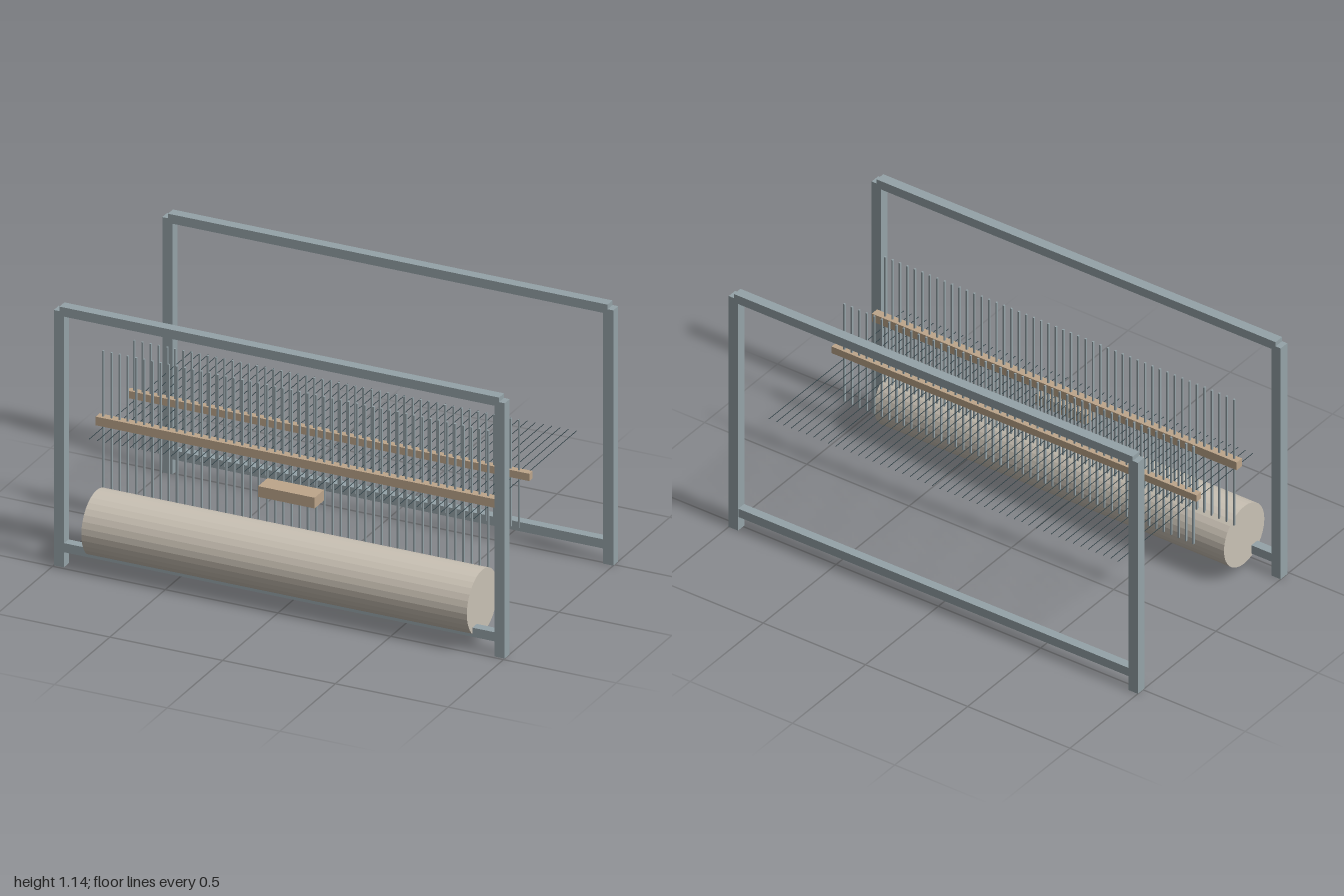
import * as THREE from 'three';

export function createModel() {
  const model = new THREE.Group();
  model.name = 'loom';

  const material = (name, color) => {
    const m = new THREE.MeshStandardMaterial({ color });
    m.name = name;
    return m;
  };
  const steel = material('greySteel', 0x95a3a8);
  const wood = material('brownWood', 0xbea68b);
  const cloth = material('paleCloth', 0xcac2b5);
  const yarn = material('darkYarn', 0x2f4046);

  const box = (parent, name, mat, w, h, d, x, y, z) => {
    const mesh = new THREE.Mesh(new THREE.BoxGeometry(w, h, d), mat);
    mesh.name = name;
    mesh.position.set(x, y, z);
    parent.add(mesh);
    return mesh;
  };

  // Front and back frames: two posts, a top rail and a bottom rail
  for (const [name, z] of [['frontFrame', 0.4665], ['backFrame', -0.5125]]) {
    const frame = new THREE.Group();
    frame.name = name;
    for (const side of [-1, 1]) {
      box(frame, side > 0 ? 'leftPost' : 'rightPost', steel, 0.045, 1.12, 0.045, side * 0.9775, 0.56, z);
    }
    box(frame, 'topRail', steel, 1.95, 0.04, 0.045, 0, 1.12, z);
    box(frame, 'bottomRail', steel, 1.91, 0.04, 0.04, 0, 0.085, z);
    model.add(frame);
  }

  // Cloth roller lying along x
  const rollerShape = new THREE.CylinderGeometry(0.1385, 0.1385, 1.71, 32).toNonIndexed();
  rollerShape.computeVertexNormals();
  const roller = new THREE.Mesh(rollerShape, cloth);
  roller.name = 'clothRoller';
  roller.rotation.z = Math.PI / 2;
  roller.position.set(0, 0.183, 0.397);
  model.add(roller);

  // Evenly spaced positions shared by the wires and the warp
  const count = 48;
  const xAt = (i) => -0.867 + i * 0.0363;

  // Two combs: a wooden bar with upright wires through it
  const comb = (name, z, barHeight, barDepth, barY, low, high, depth) => {
    const group = new THREE.Group();
    group.name = name;
    box(group, 'bar', wood, 1.784, barHeight, barDepth, 0, barY, z);
    for (let i = 0; i < count; i++) {
      box(group, 'wire', steel, 0.007, high - low, depth, xAt(i), (low + high) / 2, z);
    }
    model.add(group);
  };
  comb('frontComb', 0.312, 0.038, 0.036, 0.589, 0.285, 0.895, 0.009);
  comb('backComb', 0.033, 0.032, 0.03, 0.589, 0.352, 0.825, 0.008);

  // Warp threads running front to back
  const warp = new THREE.Group();
  warp.name = 'warp';
  for (let i = 0; i < count; i++) {
    box(warp, 'warpThread', yarn, 0.002, 0.002, 0.925, xAt(i), 0.56, -0.0225);
  }
  model.add(warp);

  // Shuttle block
  box(model, 'shuttle', wood, 0.25, 0.047, 0.085, 0, 0.476, 0.382);

  return model;
}
